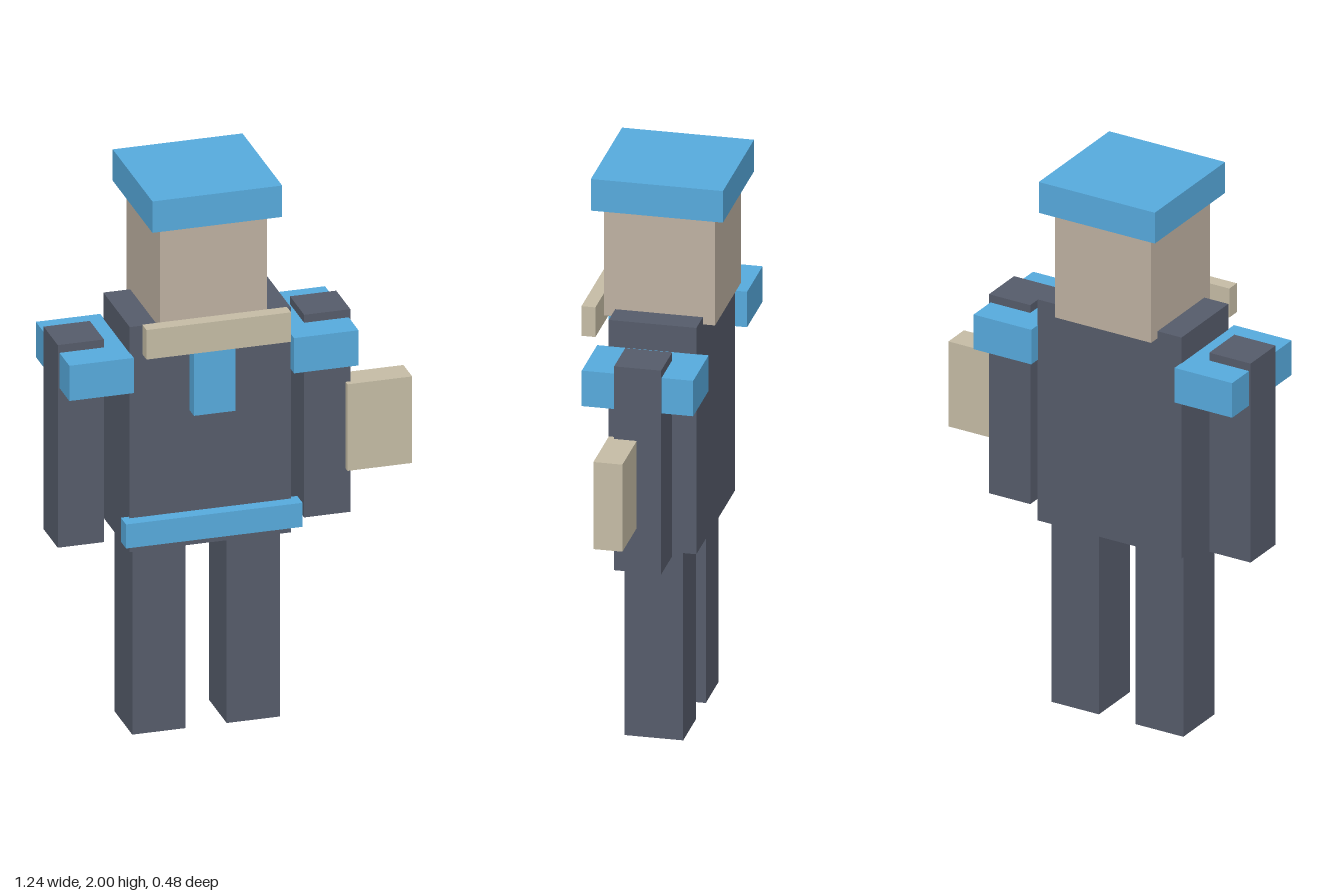
import * as THREE from 'three';

const material = (color) => new THREE.MeshStandardMaterial({ color, flatShading: true });

export function createModel() {
  const model = new THREE.Group();
  model.name = 'blockFigure';

  const cloth = material(0x565c6b);
  const blue = material(0x57abde);
  const skin = material(0xbfb2a2);
  const tan = material(0xc6bda6);

  // A block given by its [min, max] extent on each axis
  function block(name, mat, [x0, x1], [y0, y1], [z0, z1]) {
    const mesh = new THREE.Mesh(new THREE.BoxGeometry(x1 - x0, y1 - y0, z1 - z0), mat);
    mesh.position.set((x0 + x1) / 2, (y0 + y1) / 2, (z0 + z1) / 2);
    mesh.name = name;
    model.add(mesh);
  }

  // The body's middle lies left of the origin because of the held block
  const middle = -0.107;
  const mirrored = (side, inner, outer) =>
    [middle + side * inner, middle + side * outer].sort((a, b) => a - b);

  // Body and head
  block('torso', cloth, [-0.39, 0.175], [0.692, 1.516], [-0.162, 0.14]);
  block('head', skin, [-0.296, 0.08], [1.49, 1.885], [-0.204, 0.178]);
  block('cap', blue, [-0.333, 0.122], [1.885, 2], [-0.241, 0.214]);

  // Front trim
  block('collar', tan, [-0.362, 0.145], [1.436, 1.544], [0.193, 0.241]);
  block('tie', blue, [-0.18, -0.034], [1.185, 1.449], [0.14, 0.19]);
  block('belt', blue, [-0.417, 0.202], [0.728, 0.816], [0.126, 0.186]);

  // Limbs and shoulder bands
  for (const [side, label] of [[-1, 'right'], [1, 'left']]) {
    block(label + 'Leg', cloth, mirrored(side, 0.072, 0.259), [0, 0.692], [-0.111, 0.091]);
    block(label + 'Arm', cloth, mirrored(side, 0.351, 0.513), [0.707, 1.449], [-0.095, 0.067]);
    block(label + 'ShoulderBand', blue, mirrored(side, 0.281, 0.507), [1.291, 1.42], [-0.204, 0.18]);
  }

  // Block carried at the left arm
  block('heldBlock', tan, [0.389, 0.616], [0.868, 1.185], [-0.011, 0.089]);

  return model;
}
